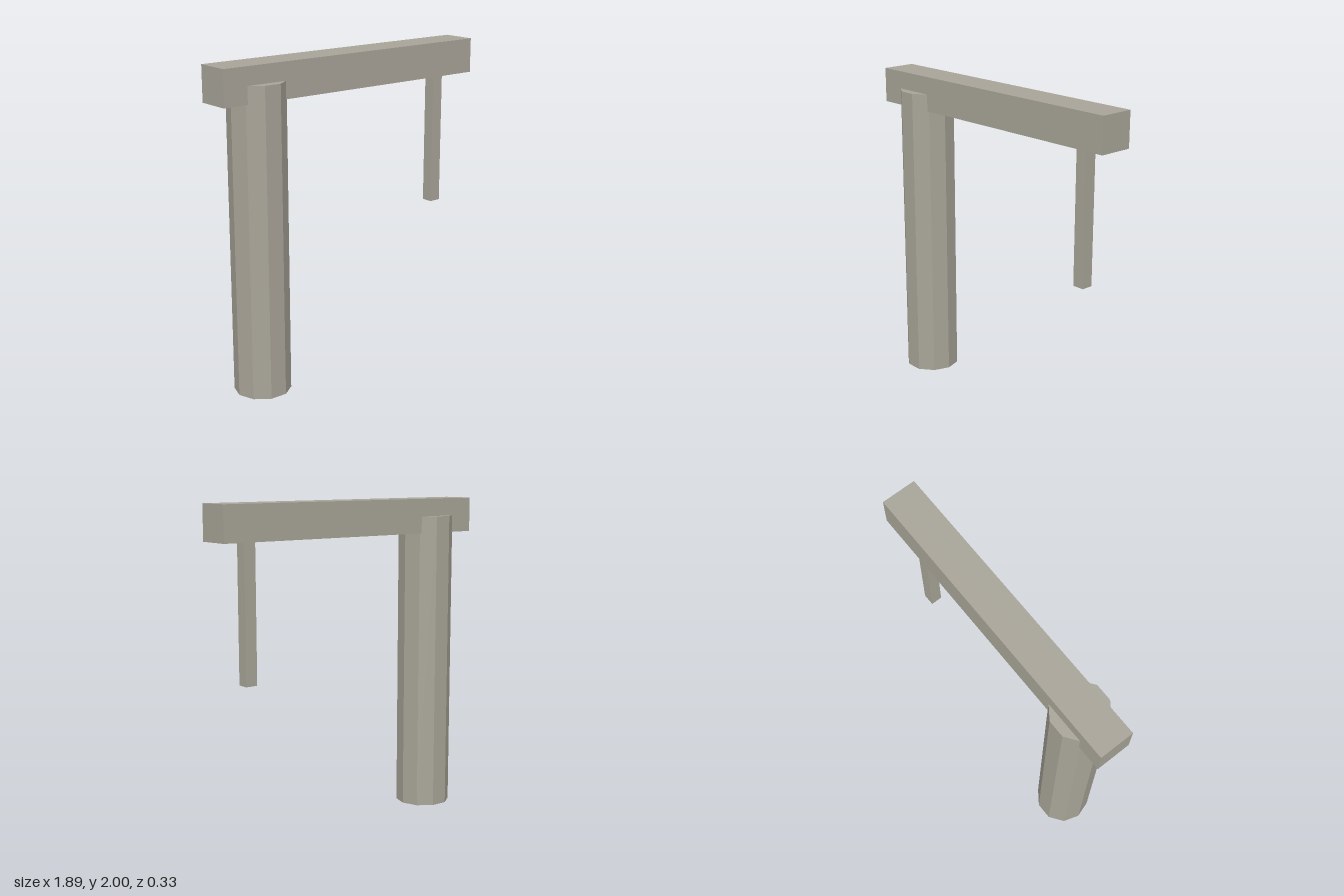
import * as THREE from 'three';

export function createModel() {
  const model = new THREE.Group();
  const stone = new THREE.MeshStandardMaterial({ color: 0xa8a498 });
  stone.name = 'weathered grey';
  stone.flatShading = true;

  // Places a part with its base at height y
  const add = (name, geometry, x, y, height) => {
    const mesh = new THREE.Mesh(geometry, stone);
    mesh.name = name;
    mesh.position.set(x, y + height / 2, 0);
    model.add(mesh);
  };

  // Ten-sided post with corners pointing along x, notched around the beam
  const post = new THREE.CylinderGeometry(0.173, 0.173, 1.89, 10).rotateY(Math.PI / 10);
  add('post', post, -0.657, 0, 1.89);

  // Horizontal beam
  add('beam', new THREE.BoxGeometry(1.89, 0.216, 0.216), 0, 1.784, 0.216);

  // Thin rod hanging under the far end
  add('hangingRod', new THREE.BoxGeometry(0.076, 0.839, 0.072), 0.727, 0.945, 0.839);

  return model;
}
